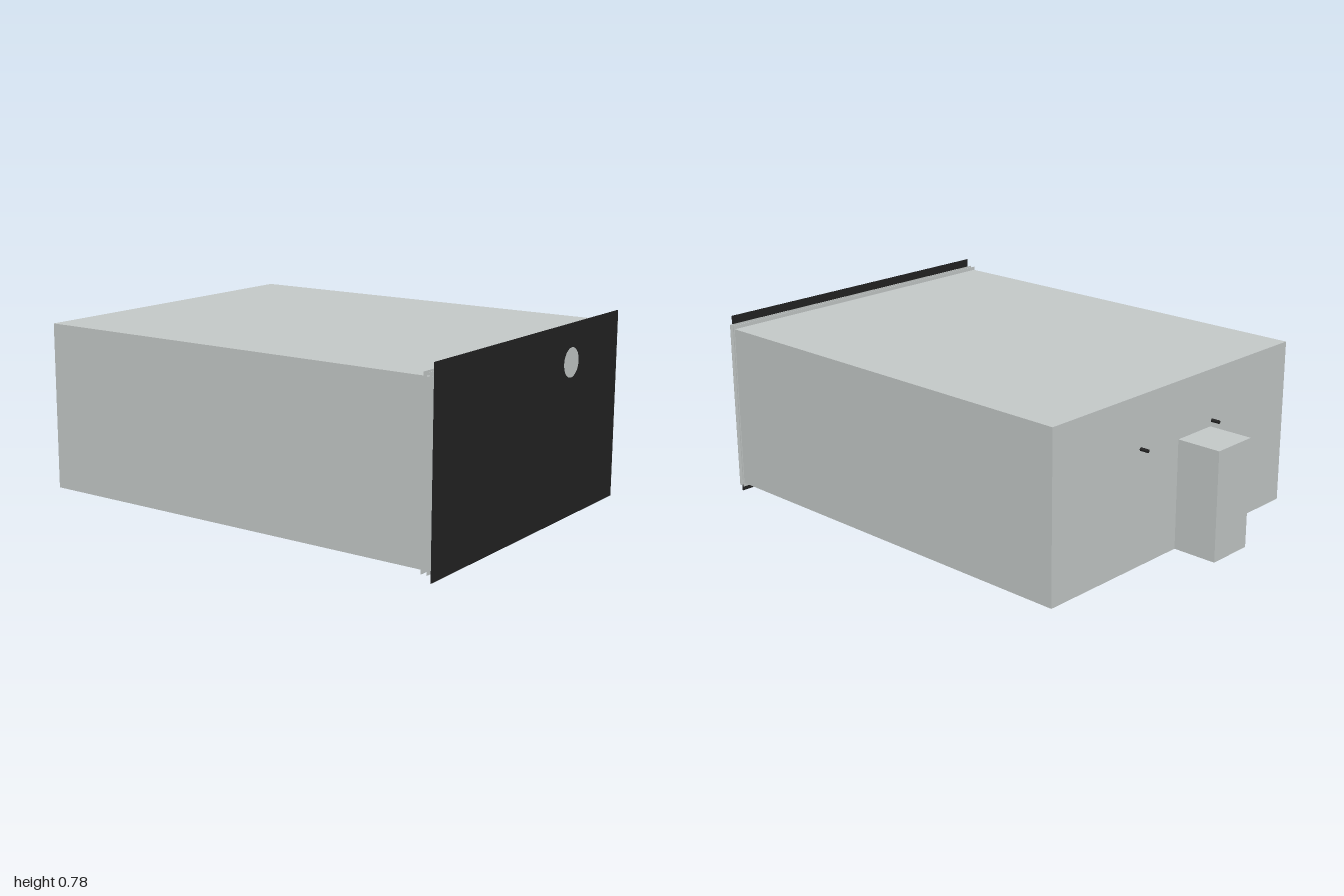
import * as THREE from 'three';

export function createModel() {
  const group = new THREE.Group();
  const mat = (name, color) => {
    const m = new THREE.MeshStandardMaterial({ color });
    m.name = name;
    return m;
  };
  const metal = mat('light grey metal', 0xc5cac9);
  const black = mat('black', 0x232323);
  black.side = THREE.DoubleSide;
  const brown = mat('brown underside', 0x6e5c55);
  // Box faces run +x, -x, +y, -y, +z, -z: only the underside is brown
  const brownBelow = [metal, metal, metal, brown, metal, metal];

  const add = (name, geometry, material, x, y, z) => {
    const mesh = new THREE.Mesh(geometry, material);
    mesh.name = name;
    mesh.position.set(x, y, z);
    group.add(mesh);
  };
  // Box given by its lower and upper limits on each axis
  const box = (name, material, x0, x1, y0, y1, z0, z1) =>
    add(name, new THREE.BoxGeometry(x1 - x0, y1 - y0, z1 - z0), material,
      (x0 + x1) / 2, (y0 + y1) / 2, (z0 + z1) / 2);

  // Main housing and front neck
  box('housing', brownBelow, -0.707, 0.707, 0.048, 0.735, -0.81, 0.967);
  box('frontNeck', metal, -0.698, 0.698, 0.052, 0.732, 0.967, 0.994);

  // Two thin flanges around the neck
  for (const [name, z] of [['rearFlange', 0.967], ['frontFlange', 0.991]]) {
    box(name, metal, -0.711, 0.711, 0.032, 0.75, z, z + 0.002);
  }

  // Thin front panel with a round opening that shows the neck behind it
  const outline = new THREE.Shape();
  outline.moveTo(-0.697, 0);
  outline.lineTo(0.695, 0);
  outline.lineTo(0.695, 0.784);
  outline.lineTo(-0.697, 0.784);
  outline.closePath();
  const opening = new THREE.Path();
  opening.absarc(0.3, 0.627, 0.06, 0, Math.PI * 2, true);
  outline.holes.push(opening);
  add('frontPanel', new THREE.ShapeGeometry(outline, 32), black, 0, 0, 1);

  // Connector box on the back
  box('rearBox', brownBelow, -0.21, -0.008, 0.048, 0.5, -1, -0.81);

  // Pair of small rear pins
  for (const side of [-1, 1]) {
    const pin = new THREE.CylinderGeometry(0.007, 0.007, 0.035, 16).rotateX(Math.PI / 2);
    add(side < 0 ? 'rightPin' : 'leftPin', pin, black, side * 0.219, 0.523, -0.8275);
  }
  return group;
}
